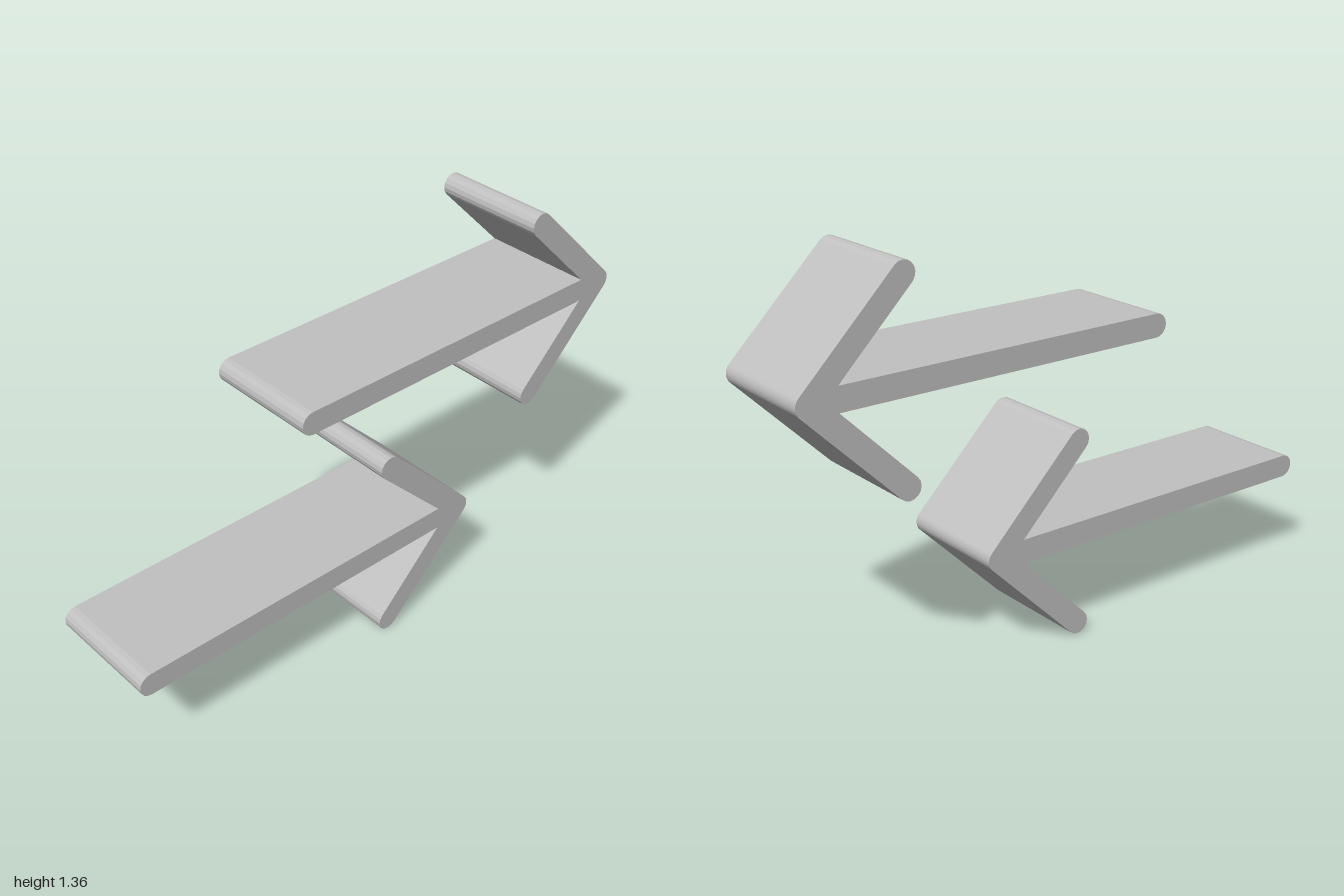
import * as THREE from 'three';

const R = 0.04;      // half thickness of every stroke
const DEPTH = 0.4;

// Arrow outline with rounded stroke ends; the origin is the centre of the tip
function arrowShape() {
  const q = Math.PI / 4, barb = 0.32, tail = 1.28;
  const notch = -R * (1 + Math.SQRT2);
  const s = new THREE.Shape();
  s.moveTo(-tail, -R);
  s.lineTo(notch, -R);
  s.absarc(-barb, -barb, R, 3 * q, 7 * q, false); // lower barb end
  s.absarc(0, 0, R, -q, q, false);                // tip
  s.absarc(-barb, barb, R, q, 5 * q, false);      // upper barb end
  s.lineTo(notch, R);
  s.absarc(-tail, 0, R, 2 * q, 6 * q, false);     // tail end
  return s;
}

export function createModel() {
  const group = new THREE.Group();
  group.name = 'arrowPair';
  const grey = new THREE.MeshStandardMaterial({ color: 0xc0c0c0 });
  grey.name = 'light grey';

  const geometry = new THREE.ExtrudeGeometry(arrowShape(), {
    depth: DEPTH, bevelEnabled: false, curveSegments: 4,
  });
  geometry.translate(0, 0, -DEPTH / 2);

  // Two equal arrows, the upper one shifted along the pointing direction
  for (const [name, x, y] of [['lowerArrow', 0.32, 0.36], ['upperArrow', 0.96, 1.0]]) {
    const arrow = new THREE.Mesh(geometry, grey);
    arrow.name = name;
    arrow.position.set(x, y, 0);
    group.add(arrow);
  }
  return group;
}
